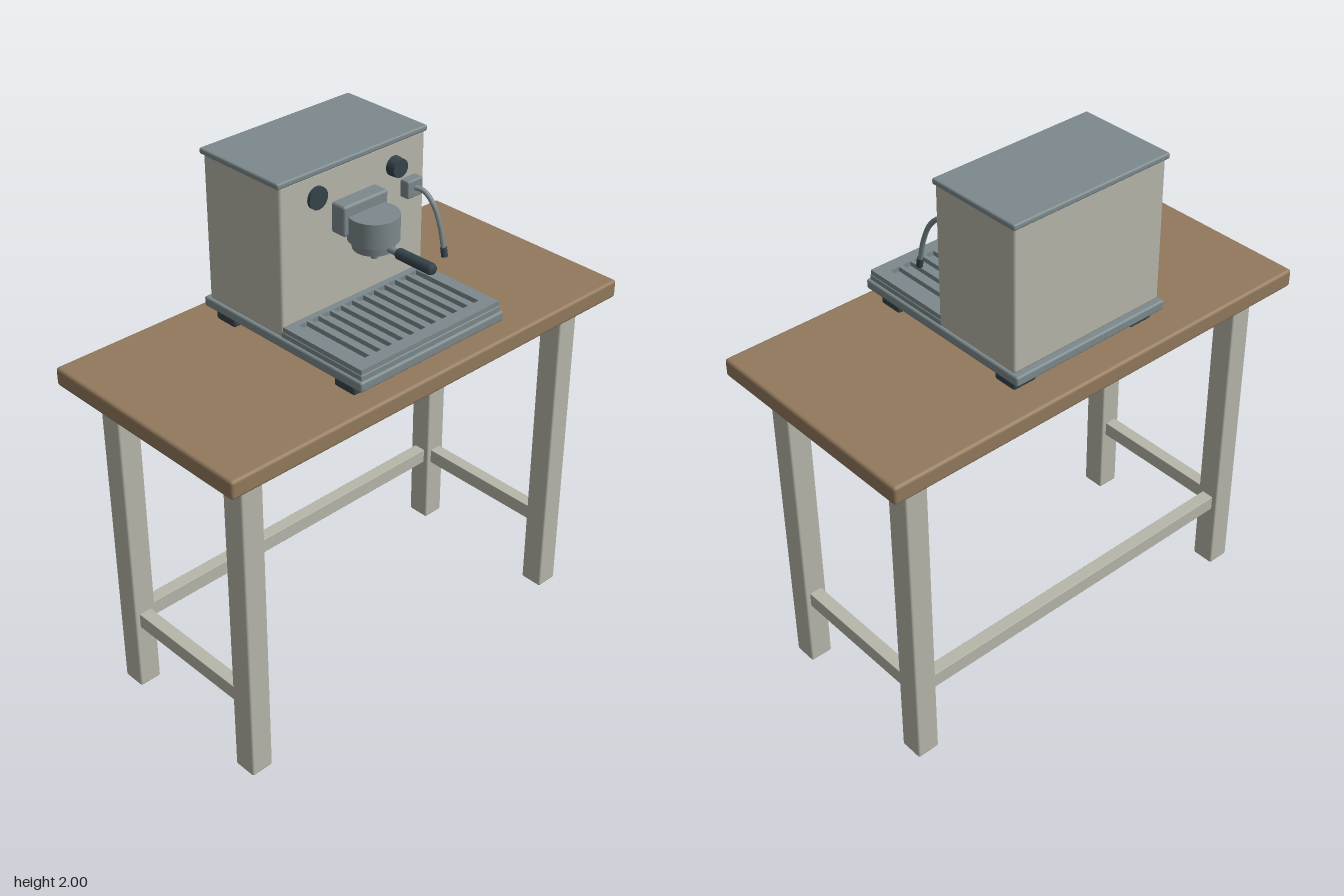
import * as THREE from 'three';
import { RoundedBoxGeometry } from 'three/addons/geometries/RoundedBoxGeometry.js';

const material = (name, color) => {
  const m = new THREE.MeshStandardMaterial({ color });
  m.name = name;
  return m;
};

export function createModel() {
  const cream = material('cream paint', 0xb6b6aa);
  const wood = material('wood', 0x92795c);
  const steel = material('blue grey steel', 0x7c898c);
  const dark = material('dark plastic', 0x36444b);

  const model = new THREE.Group();
  model.name = 'coffeeMachineOnTable';
  const table = new THREE.Group();
  table.name = 'table';
  const machine = new THREE.Group();
  machine.name = 'coffeeMachine';
  model.add(table, machine);

  const add = (parent, name, geometry, mat, x = 0, y = 0, z = 0) => {
    const mesh = new THREE.Mesh(geometry, mat);
    mesh.name = name;
    mesh.position.set(x, y, z);
    parent.add(mesh);
    return mesh;
  };
  // Box given by its extents, with softened edges of radius r
  const box = (parent, name, mat, [x0, x1], [y0, y1], [z0, z1], r = 0.006) =>
    add(parent, name, new RoundedBoxGeometry(x1 - x0, y1 - y0, z1 - z0, 2, r), mat,
      (x0 + x1) / 2, (y0 + y1) / 2, (z0 + z1) / 2);
  const cylinder = (parent, name, mat, r0, r1, h, x, y, z, sides = 24) =>
    add(parent, name, new THREE.CylinderGeometry(r0, r1, h, sides), mat, x, y, z);
  // Cylinder lying along z
  const rod = (...args) => {
    const mesh = cylinder(...args);
    mesh.rotation.x = Math.PI / 2;
    return mesh;
  };

  // Table
  box(table, 'tableTop', wood, [-0.905, 0.905], [1.29, 1.36], [-0.45, 0.45], 0.012);
  for (const s of [-1, 1]) {
    const x = s * 0.755;
    for (const z of [-0.317, 0.317]) {
      box(table, 'leg', cream, [x - 0.045, x + 0.045], [0, 1.29], [z - 0.046, z + 0.046], 0.008);
    }
    box(table, 'sideApron', cream, [x - 0.02, x + 0.02], [1.2, 1.29], [-0.28, 0.28], 0.002);
    box(table, 'sideStretcher', cream, [x - 0.025, x + 0.025], [0.275, 0.335], [-0.28, 0.28], 0.002);
    box(table, 'longApron', cream, [-0.72, 0.72], [1.2, 1.29], [s * 0.317 - 0.02, s * 0.317 + 0.02], 0.002);
  }
  box(table, 'backStretcher', cream, [-0.72, 0.72], [0.275, 0.335], [-0.342, -0.292], 0.002);

  // Machine housing
  for (const x of [-0.265, 0.265]) {
    for (const z of [-0.28, 0.312]) {
      box(machine, 'foot', dark, [x - 0.05, x + 0.05], [1.36, 1.41], [z - 0.048, z + 0.048], 0.01);
    }
  }
  box(machine, 'base', steel, [-0.335, 0.335], [1.405, 1.442], [-0.365, 0.413], 0.008);
  box(machine, 'body', cream, [-0.326, 0.326], [1.44, 1.985], [-0.342, 0.03], 0.01);
  box(machine, 'lid', steel, [-0.335, 0.335], [1.978, 2], [-0.352, 0.034], 0.007);

  // Drip tray: slotted grate above a solid floor
  box(machine, 'trayFloor', steel, [-0.325, 0.325], [1.44, 1.462], [0.02, 0.403], 0.004);
  const grate = new THREE.Shape();
  grate.moveTo(-0.322, -0.4).lineTo(0.322, -0.4).lineTo(0.322, -0.025).lineTo(-0.322, -0.025).closePath();
  for (let i = -5; i <= 5; i++) {
    const x = i * 0.0513;
    const slot = new THREE.Path();
    slot.moveTo(x - 0.018, -0.35).lineTo(x - 0.018, -0.055).lineTo(x + 0.018, -0.055).lineTo(x + 0.018, -0.35).closePath();
    grate.holes.push(slot);
  }
  const grateGeometry = new THREE.ExtrudeGeometry(grate, { depth: 0.02, bevelEnabled: false });
  grateGeometry.rotateX(-Math.PI / 2);
  add(machine, 'trayGrate', grateGeometry, steel, 0, 1.46, 0);

  // Gauge and control knob
  rod(machine, 'gauge', dark, 0.04, 0.04, 0.016, -0.168, 1.9, 0.034);
  rod(machine, 'knob', dark, 0.033, 0.036, 0.04, 0.18, 1.9, 0.045);

  // Brew head and filter holder
  box(machine, 'brewBlock', steel, [-0.1, 0.1], [1.75, 1.86], [0.02, 0.088], 0.01);
  cylinder(machine, 'brewHead', steel, 0.088, 0.088, 0.09, 0, 1.775, 0.122, 32);
  cylinder(machine, 'filterHolder', steel, 0.076, 0.072, 0.035, 0, 1.715, 0.122, 32);
  cylinder(machine, 'spout', steel, 0.013, 0.013, 0.045, 0, 1.682, 0.127, 12);
  rod(machine, 'handleNeck', steel, 0.012, 0.012, 0.07, 0, 1.717, 0.215, 12);
  const grip = [[0, -0.08], [0.016, -0.08], [0.02, -0.074], [0.021, 0.07], [0.016, 0.08], [0, 0.08]]
    .map(([r, y]) => new THREE.Vector2(r, y));
  add(machine, 'handleGrip', new THREE.LatheGeometry(grip, 16), dark, 0, 1.717, 0.315).rotation.x = Math.PI / 2;

  // Steam wand
  box(machine, 'steamBlock', steel, [0.215, 0.287], [1.773, 1.838], [0.02, 0.066], 0.006);
  const path = new THREE.CatmullRomCurve3([
    [0.25, 1.808, 0.06], [0.265, 1.8, 0.09], [0.274, 1.76, 0.128], [0.278, 1.69, 0.158], [0.279, 1.605, 0.178],
  ].map((p) => new THREE.Vector3(...p)));
  add(machine, 'steamWand', new THREE.TubeGeometry(path, 24, 0.009, 10), steel);
  cylinder(machine, 'steamTip', dark, 0.012, 0.012, 0.034, 0.279, 1.598, 0.18, 12).rotation.x = -0.2;

  return model;
}
